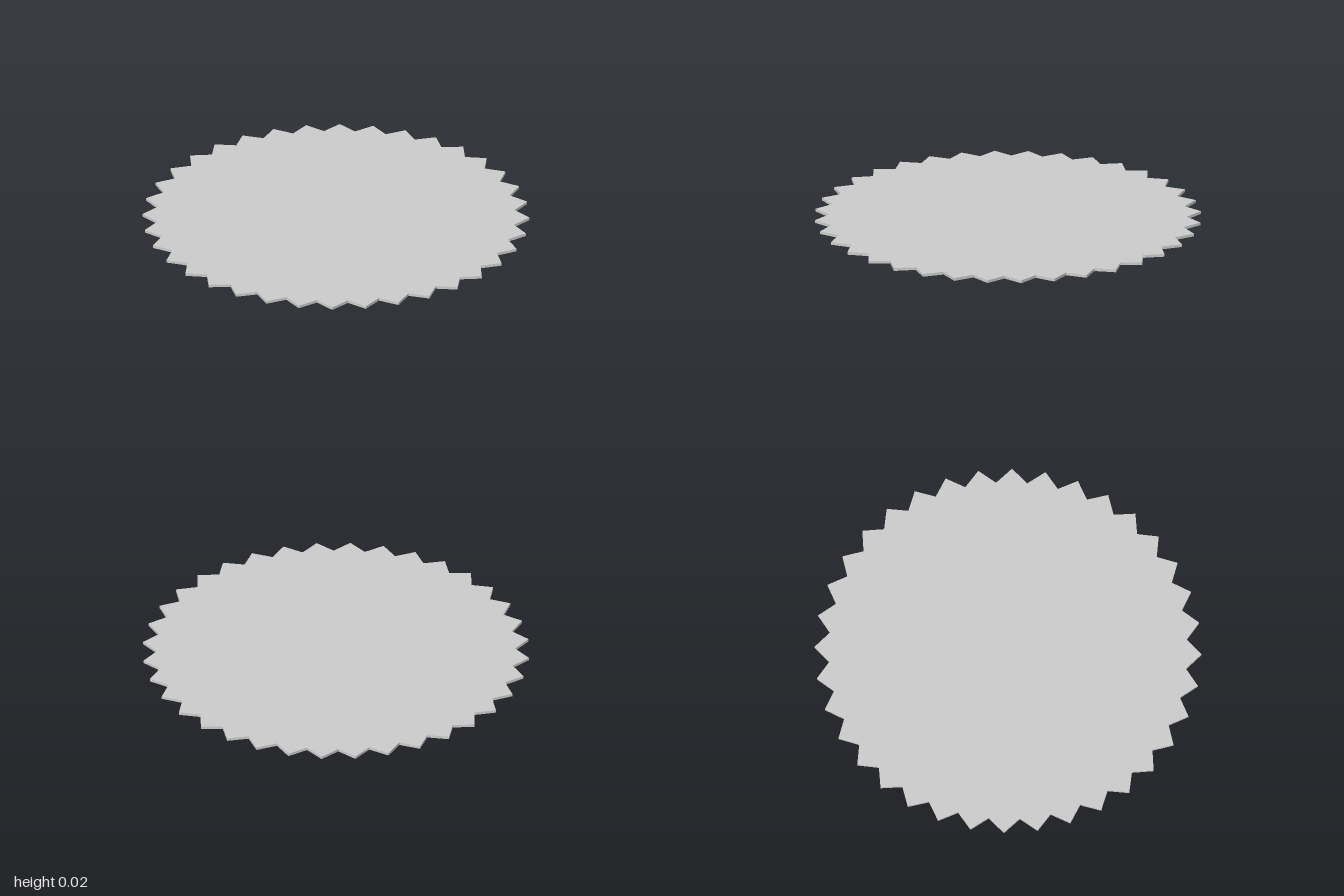
import * as THREE from 'three';

const TEETH = 36;
const TIP = 1.0, VALLEY = 0.925;
const RECESS = 0.594, FOOT = 0.725;
const FOOT_TOP = 0.005, FLOOR = 0.012, TOP = 0.02;

export function createModel() {
  const group = new THREE.Group();
  const material = new THREE.MeshStandardMaterial({ color: 0xcccccc });

  const add = (name, geometry, y) => {
    const mesh = new THREE.Mesh(geometry, material);
    mesh.name = name;
    mesh.position.y = y;
    group.add(mesh);
  };

  // Disc standing on the given height
  const disc = (name, radius, bottom, top) =>
    add(name, new THREE.CylinderGeometry(radius, radius, top - bottom, 96), (top + bottom) / 2);

  // Toothed rim: zigzag outline around the round recess
  const outline = [];
  for (let i = 0; i < TEETH * 2; i++) {
    const a = (i / (TEETH * 2)) * Math.PI * 2 - 0.012;
    const r = i % 2 ? VALLEY : TIP;
    outline.push(new THREE.Vector2(r * Math.sin(a), r * Math.cos(a)));
  }
  const shape = new THREE.Shape(outline);
  shape.holes.push(new THREE.Path().absarc(0, 0, RECESS, 0, Math.PI * 2, true));
  const rim = new THREE.ExtrudeGeometry(shape, {
    depth: TOP - FOOT_TOP, bevelEnabled: false, curveSegments: 96,
  });
  rim.rotateX(-Math.PI / 2);
  add('toothedRim', rim, FOOT_TOP);

  // Sunken floor inside the rim, and the shallow foot underneath
  disc('recessFloor', RECESS, FOOT_TOP, FLOOR);
  disc('foot', FOOT, 0, FOOT_TOP);

  return group;
}
